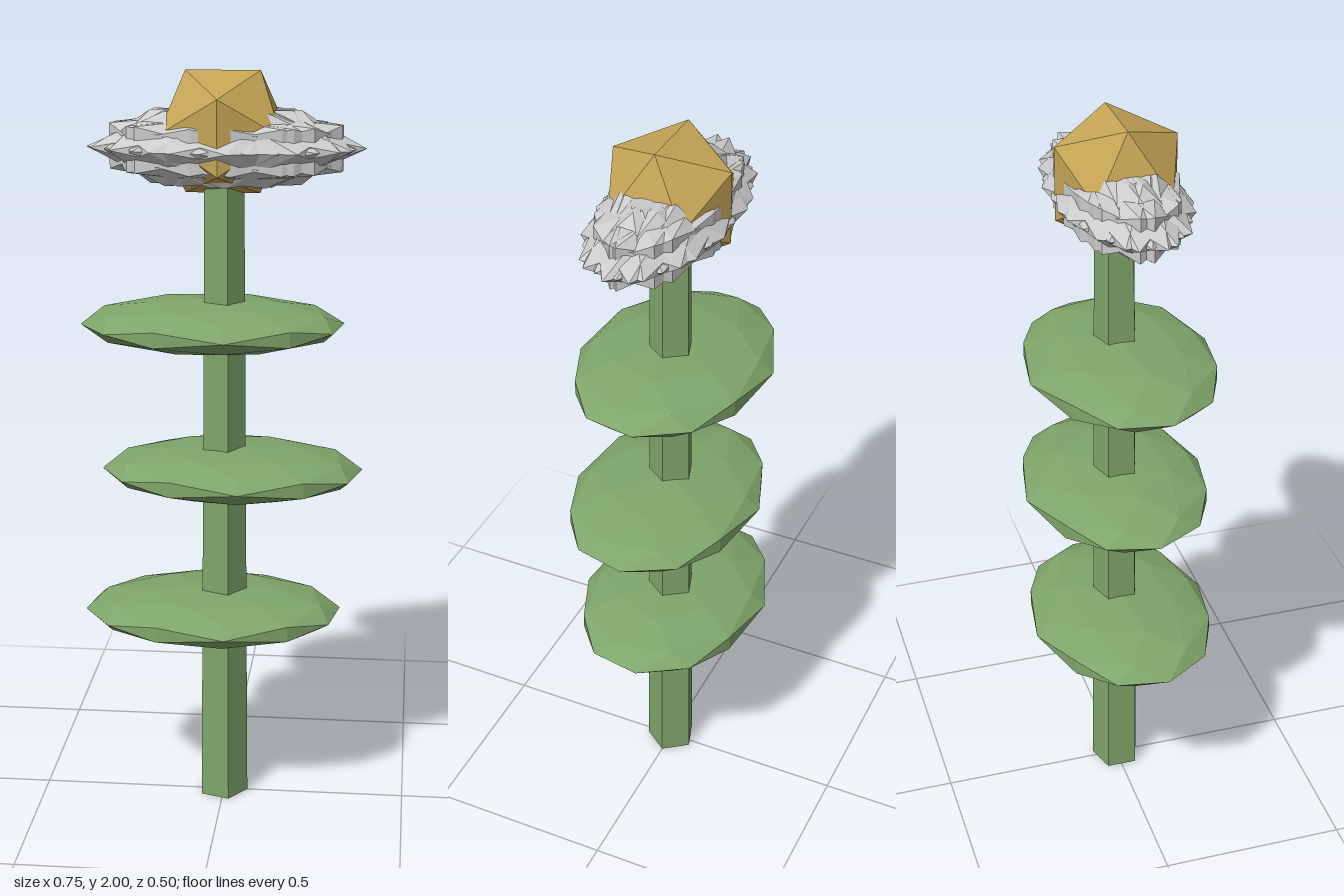
import * as THREE from 'three';

const flat = (color) => new THREE.MeshStandardMaterial({ color, flatShading: true });

export function createModel() {
  const group = new THREE.Group();
  const green = flat(0x7fa56a);
  const grey = flat(0xcccccc);
  const gold = flat(0xc4a455);

  const add = (name, geometry, material, x, y, z, parent = group) => {
    const mesh = new THREE.Mesh(geometry, material);
    mesh.name = name;
    mesh.position.set(x, y, z);
    parent.add(mesh);
    return mesh;
  };

  // Tapered five-sided stem, one corner towards +x
  const stem = new THREE.CylinderGeometry(0.055, 0.069, 1.8, 5);
  stem.rotateY(Math.PI / 2);
  add('stem', stem, green, -0.003, 0.9, 0);

  // Three flat faceted leaf pads, shifted to alternate sides
  const pads = [[-0.03, 0.542, 0.15], [0.023, 0.943, 0.1], [-0.03, 1.34, 0.15]];
  pads.forEach(([x, y, turn], i) => {
    const pad = new THREE.IcosahedronGeometry(1, 1);
    pad.rotateY(turn);
    pad.scale(0.35, 0.0665, 0.253);
    add(`leafPad${i + 1}`, pad, green, x, y, 0);
  });

  // Spiky petal ring: overlapping solids turned about the upright axis, then stretched
  const petals = new THREE.Group();
  petals.name = 'petals';
  petals.position.set(0, 1.805, 0);
  group.add(petals);
  const count = 10;
  for (let i = 0; i < count; i++) {
    const turn = i * 2.39996 + 0.5;
    const petal = new THREE.IcosahedronGeometry(1, 0);
    petal.rotateY(turn);
    petal.translate(0.025 * Math.cos(turn), 0, -0.025 * Math.sin(turn));
    petal.scale(0.355, 0.112, 0.17);
    add(`petal${i + 1}`, petal, grey, 0.005, 0, 0, petals);
  }

  // Flower centre
  add('flowerCentre', new THREE.IcosahedronGeometry(0.184, 0), gold, -0.003, 1.843, 0);

  return group;
}
